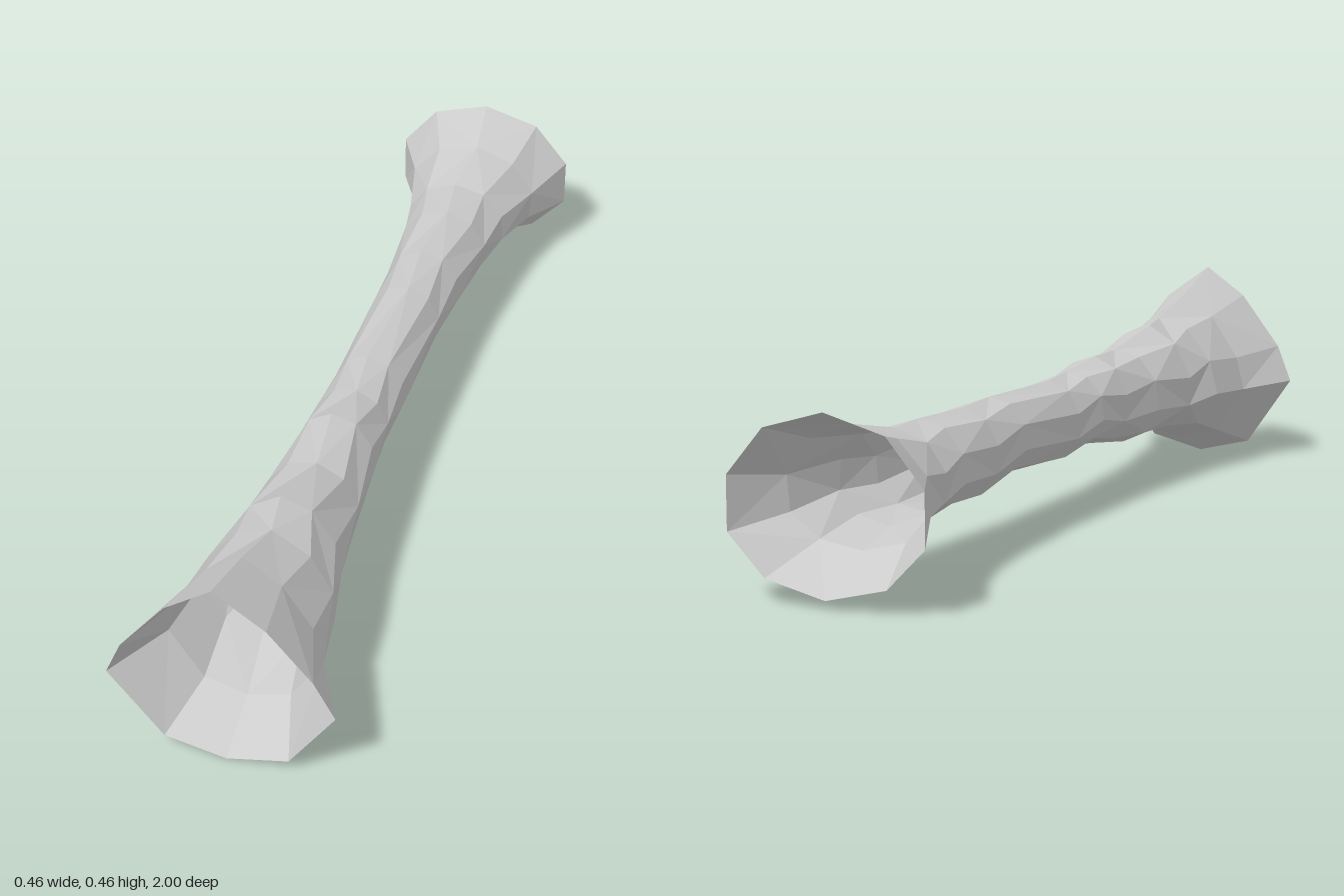
import * as THREE from 'three';

// Cross-sections from front to back:
// z, half width, bottom y, widest y, top y, crest (1 = round, larger = pointed), twist in degrees
const SECTIONS = [
  [1.00, 0.230, 0.003, 0.190, 0.466, 1.5, 0],
  [0.83, 0.160, 0.055, 0.195, 0.410, 1.35, 0],
  [0.69, 0.142, 0.090, 0.195, 0.368, 1.15, 6],
  [0.58, 0.118, 0.110, 0.205, 0.362, 1.1, -5],
  [0.41, 0.102, 0.106, 0.205, 0.322, 1, 7],
  [0.25, 0.088, 0.125, 0.215, 0.326, 1, -4],
  [0.13, 0.082, 0.138, 0.215, 0.306, 1, 8],
  [0.00, 0.080, 0.121, 0.210, 0.302, 1, -3],
  [-0.28, 0.081, 0.138, 0.212, 0.303, 1, 6],
  [-0.43, 0.087, 0.111, 0.205, 0.302, 1, -4],
  [-0.61, 0.102, 0.119, 0.200, 0.303, 1, 5],
  [-0.73, 0.120, 0.110, 0.195, 0.304, 1, -3],
  [-0.87, 0.157, 0.090, 0.190, 0.330, 1, 4],
  [-1.00, 0.217, 0.020, 0.183, 0.370, 1, 0],
];

// Corner angles measured from the top: cut corners at the mouth, even along the shaft
const MOUTH = [0, 36, 62, 90, 146, 180, 213, 270, 297, 326];
const SIDES = MOUTH.length;

function ring([z, w, bottom, mid, top, crest, twist], index) {
  const blend = Math.min(index / 4, 1);
  return MOUTH.map((mouth, j) => {
    const a = THREE.MathUtils.degToRad(THREE.MathUtils.lerp(mouth, j * 360 / SIDES, blend) + twist);
    const s = Math.sin(a), c = Math.cos(a);
    const power = c > 0 ? crest : 1;
    const x = w * Math.sign(s) * Math.abs(s) ** power;
    const y = c > 0 ? mid + (top - mid) * c ** power : mid + (mid - bottom) * c;
    // The front rim leans back slightly toward its underside
    const lean = index === 0 ? 0.02 * (1 - c) : 0;
    return [x, y, z - lean];
  });
}

export function createModel() {
  const positions = SECTIONS.flatMap(ring).flat();
  const indices = [];
  for (let i = 0; i < SECTIONS.length - 1; i++) {
    for (let j = 0; j < SIDES; j++) {
      const k = (j + 1) % SIDES;
      const a = i * SIDES + j, b = i * SIDES + k;
      const c = a + SIDES, d = b + SIDES;
      // Alternate the diagonals for irregular facets
      if ((i + j) % 2) indices.push(a, b, c, b, d, c);
      else indices.push(a, b, d, a, d, c);
    }
  }
  const geometry = new THREE.BufferGeometry();
  geometry.setAttribute('position', new THREE.Float32BufferAttribute(positions, 3));
  geometry.setIndex(indices);
  geometry.computeVertexNormals();

  // Thin open tube, flared at both ends
  const tube = new THREE.Mesh(geometry, new THREE.MeshStandardMaterial({
    color: 0xcccccc, flatShading: true, side: THREE.DoubleSide,
  }));
  tube.name = 'flaredTube';

  const group = new THREE.Group();
  group.name = 'hollowTunnel';
  group.add(tube);
  return group;
}
